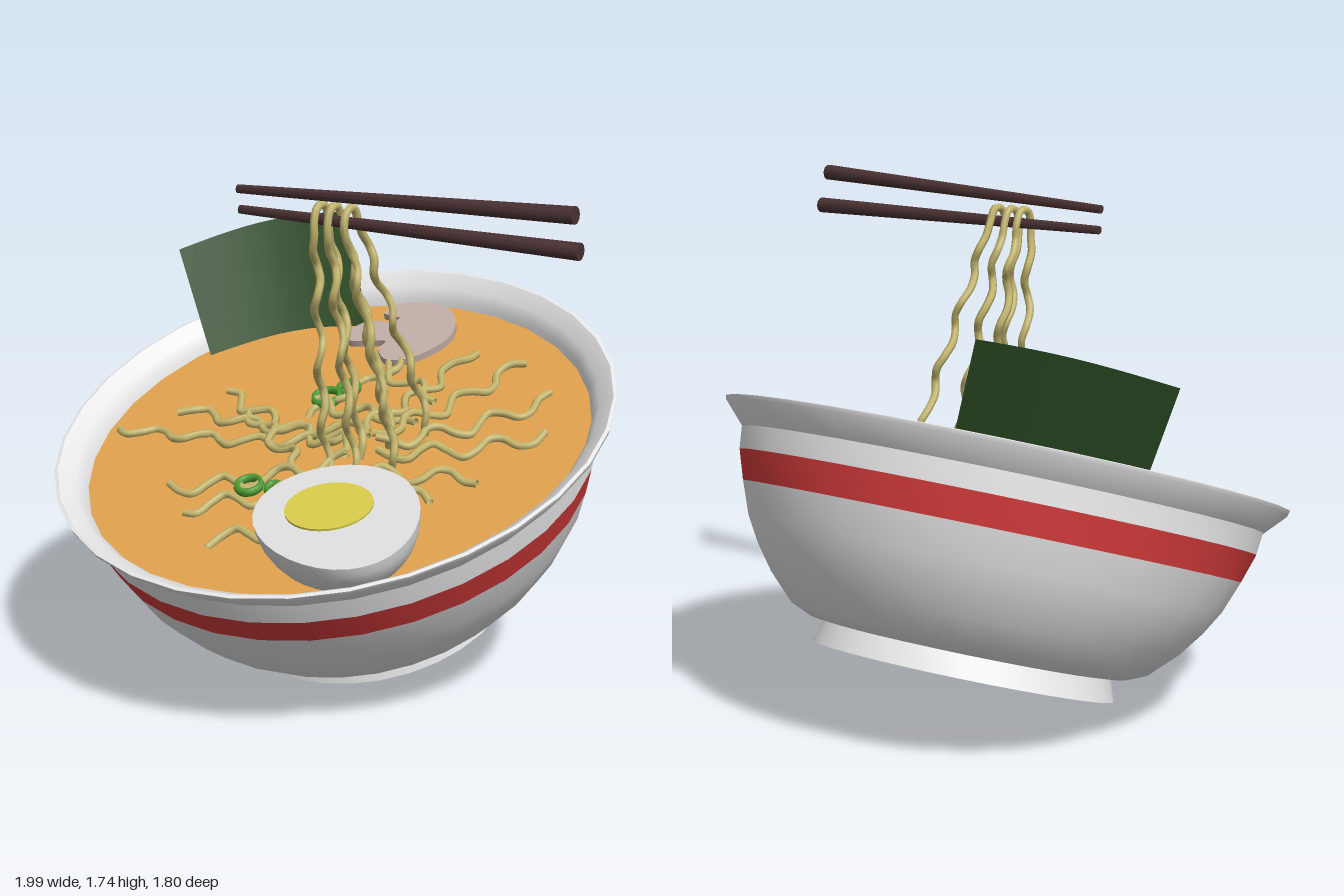
import * as THREE from 'three';
import { toCreasedNormals } from 'three/addons/utils/BufferGeometryUtils.js';

const TILT = THREE.MathUtils.degToRad(20);
const SOUP = 0.64; // soup height along the bowl axis

function mat(name, color, double) {
  const m = new THREE.MeshStandardMaterial({ color });
  m.name = name;
  if (double) m.side = THREE.DoubleSide;
  return m;
}
const M = {
  china: mat('white china', 0xeeeeee, true),
  red: mat('red glaze', 0xd83c3c),
  soup: mat('orange broth', 0xdea04c),
  noodle: mat('noodle', 0xc6b870, true),
  nori: mat('dark green seaweed', 0x2d4d25, true),
  onion: mat('spring green', 0x4fa035),
  mushroom: mat('pale mushroom', 0xc2aca6),
  egg: mat('egg white', 0xdedede),
  yolk: mat('yolk yellow', 0xd8ca4c),
  wood: mat('dark wood', 0x4a3132),
};
const V = (x, y, z) => new THREE.Vector3(x, y, z);
// world height of the tilted soup surface
const soupY = (z) => 0.787 - (z + 0.03) * Math.tan(TILT);

function add(parent, name, geometry, material) {
  const m = new THREE.Mesh(geometry, material);
  m.name = name;
  parent.add(m);
  return m;
}
function lathe(points) {
  const g = new THREE.LatheGeometry(points.map(([r, h]) => new THREE.Vector2(r, h)), 32);
  return toCreasedNormals(g, 0.5);
}

function makeBowl() {
  const bowl = new THREE.Group();
  bowl.name = 'bowl';
  bowl.position.set(-0.04, 0.185, -0.25);
  bowl.rotation.x = TILT;
  add(bowl, 'bowlFoot', lathe([[0, 0.04], [0.385, 0.04], [0.4, 0], [0.51, 0], [0.485, 0.075]]), M.china);
  add(bowl, 'bowlBody', lathe([[0.485, 0.075], [0.535, 0.08], [0.605, 0.11], [0.692, 0.196], [0.755, 0.28],
    [0.803, 0.362], [0.845, 0.472]]), M.china);
  add(bowl, 'bowlStripe', lathe([[0.845, 0.472], [0.877, 0.57]]), M.red);
  add(bowl, 'bowlRim', lathe([[0.877, 0.57], [0.885, 0.645], [0.953, 0.718], [0.957, 0.732], [0.945, 0.735],
    [0.895, 0.7], [0.868, 0.665], [0.855, 0.6]]), M.china);
  const soup = add(bowl, 'soup', new THREE.CircleGeometry(0.862, 32), M.soup);
  soup.rotation.x = -Math.PI / 2;
  soup.position.y = SOUP;

  // mushroom slice: cap to the right, stalk to the left
  const s = new THREE.Shape();
  const p = (x, z) => new THREE.Vector2(x + 0.04, -(z + 0.03) / Math.cos(TILT));
  s.moveTo(...p(-0.26, -0.71).toArray());
  s.splineThru([[-0.25, -0.765], [-0.16, -0.81], [-0.05, -0.8], [0.035, -0.72], [0.055, -0.61], [-0.01, -0.49],
    [-0.1, -0.455], [-0.165, -0.51]].map((a) => p(...a)));
  s.splineThru([[-0.16, -0.555], [-0.22, -0.545], [-0.3, -0.53], [-0.325, -0.6], [-0.28, -0.66], [-0.2, -0.665],
    [-0.185, -0.7]].map((a) => p(...a)));
  s.lineTo(...p(-0.26, -0.71).toArray());
  const slice = add(bowl, 'mushroomSlice', new THREE.ExtrudeGeometry(s, { depth: 0.025, bevelEnabled: false, curveSegments: 4 }), M.mushroom);
  slice.rotation.x = -Math.PI / 2;
  slice.position.y = SOUP + 0.005;

  // spring onion rings: x, z, radius
  for (const [x, z, r] of [[-0.147, -0.283, 0.036], [-0.195, -0.215, 0.046], [-0.185, 0.283, 0.042], [-0.09, 0.275, 0.026]]) {
    const ring = add(bowl, 'springOnionRing', new THREE.TorusGeometry(r, 0.01, 6, 20), M.onion);
    ring.rotation.x = -Math.PI / 2;
    ring.scale.z = 1.6;
    ring.position.set(x + 0.04, SOUP + 0.02, (z + 0.03) / Math.cos(TILT));
  }
  return bowl;
}

function makeEgg() {
  const egg = new THREE.Group();
  egg.name = 'halfEgg';
  egg.position.set(0.275, 0.718, 0.465);
  egg.rotation.set(0.245, -Math.PI / 4, 0);
  const taper = (g) => {
    const a = g.attributes.position;
    for (let i = 0; i < a.count; i++) {
      const k = 1 - 0.12 * a.getX(i);
      a.setXYZ(i, a.getX(i) * 0.325, a.getY(i) * 0.22 * k, a.getZ(i) * 0.262 * k);
    }
    g.computeVertexNormals();
    return g;
  };
  add(egg, 'eggBody', taper(new THREE.SphereGeometry(1, 32, 10, 0, Math.PI * 2, Math.PI / 2, Math.PI / 2)), M.egg);
  add(egg, 'eggFace', taper(new THREE.CircleGeometry(1, 32).rotateX(-Math.PI / 2)), M.egg);
  const yolk = add(egg, 'yolk', new THREE.CylinderGeometry(0.143, 0.143, 0.008, 28), M.yolk);
  yolk.position.set(-0.065, 0.003, 0.015);
  return egg;
}

// curved seaweed sheet: bilinear between four corners plus a bulge
function makeSeaweed() {
  const g = new THREE.PlaneGeometry(1, 1, 10, 4);
  const a = g.attributes.position;
  const TL = V(-0.944, 1.28, -0.385), TR = V(-0.44, 1.42, -0.711);
  const BL = V(-0.785, 0.91, -0.35), BR = V(-0.295, 1.02, -0.658);
  for (let i = 0; i < a.count; i++) {
    const u = a.getX(i) + 0.5, v = a.getY(i) + 0.5;
    const q = BL.clone().lerp(BR, u).lerp(TL.clone().lerp(TR, u), v);
    q.addScaledVector(V(-0.015, 0.025, -0.045), Math.sin(Math.PI * u));
    a.setXYZ(i, q.x, q.y, q.z);
  }
  g.computeVertexNormals();
  return g;
}

function noodle(points) {
  const curve = new THREE.CatmullRomCurve3(points);
  return new THREE.TubeGeometry(curve, points.length * 4, 0.0135, 6);
}

// noodles lying in the soup: outer end x, z to inner end x, z
const FLOATING = [
  [-0.84, 0.13, 0.05, 0.03], [-0.68, -0.03, 0.12, 0.0], [-0.58, -0.15, 0.1, 0.1], [-0.46, 0.37, 0.1, 0.14],
  [-0.34, 0.44, 0.1, 0.22], [-0.16, 0.56, 0.04, 0.46], [0.17, -0.59, 0.08, 0.0], [0.38, -0.57, 0.14, 0.02],
  [0.58, -0.41, 0.18, 0.06], [0.65, -0.22, 0.2, 0.1], [0.54, 0.04, 0.16, 0.2], [0.45, 0.19, 0.15, 0.24],
  [-0.03, -0.52, -0.2, -0.1], [-0.24, -0.18, 0.22, -0.08], [-0.1, -0.42, 0.2, -0.3], [-0.42, -0.08, -0.05, 0.18],
];
function floatingNoodle([x0, z0, x1, z1], k) {
  const dx = x1 - x0, dz = z1 - z0, len = Math.hypot(dx, dz), n = Math.max(4, Math.round(len / 0.045));
  const pts = [];
  for (let i = 0; i <= n; i++) {
    const t = i / n;
    const w = 0.032 * Math.sin((t * len / 0.2) * Math.PI * 2 + k * 1.7);
    const x = x0 + dx * t - (dz / len) * w, z = z0 + dz * t + (dx / len) * w;
    const hump = 0.07 * Math.exp(-((x - 0.12) ** 2 + (z - 0.03) ** 2) / 0.06);
    pts.push(V(x, soupY(z) + 0.012 + hump + 0.008 * Math.sin(i * 1.3 + k), z));
  }
  return noodle(pts);
}

// lifted noodles: loop over the lower chopstick with a front and a back strand
const LIFTED = [
  { x: 0.09, xf: 0.04, xb: 0.1, zf: 0.15, zb: 0.04 },
  { x: 0.14, xf: 0.13, xb: 0.17, zf: 0.13, zb: -0.04 },
  { x: 0.2, xf: 0.24, xb: 0.26, zf: 0.06, zb: -0.13 },
];
function liftedNoodle({ x, xf, xb, zf, zb }, k) {
  const strand = (xe, ze, ztop, phase) => {
    const pts = [], n = 18, yEnd = soupY(ze) + 0.01;
    for (let i = 0; i <= n; i++) {
      const t = i / n, a = Math.min(1, t * 6) * 0.024;
      const wave = t * 26 + phase;
      pts.push(V(x + (xe - x) * Math.min(1, t * 1.3) + a * 0.6 * Math.sin(wave + 1),
        1.61 + (yEnd - 1.61) * t, ztop + (ze - ztop) * t + a * Math.sin(wave)));
    }
    return pts;
  };
  const front = strand(xf, zf, 0.312, k * 0.7), back = strand(xb, zb, 0.228, k * 0.7 + 0.8);
  return noodle([...front.reverse(), V(x, 1.65, 0.295), V(x, 1.655, 0.255), ...back]);
}

function chopstick(tip, end) {
  const d = end.clone().sub(tip);
  const m = new THREE.Mesh(toCreasedNormals(new THREE.CylinderGeometry(0.027, 0.014, d.length(), 10), 0.8), M.wood);
  m.name = 'chopstick';
  m.position.copy(tip).addScaledVector(d, 0.5);
  m.quaternion.setFromUnitVectors(V(0, 1, 0), d.normalize());
  return m;
}

export function createModel() {
  const model = new THREE.Group();
  model.name = 'noodleSoup';
  model.add(makeBowl(), makeEgg());
  add(model, 'seaweedSheet', makeSeaweed(), M.nori);
  FLOATING.forEach((f, i) => add(model, 'floatingNoodle', floatingNoodle(f, i), M.noodle));
  LIFTED.forEach((f, i) => add(model, 'liftedNoodle', liftedNoodle(f, i), M.noodle));
  model.add(
    chopstick(V(-0.215, 1.68, 0.285), V(0.99, 1.722, 0.31)),
    chopstick(V(-0.215, 1.612, 0.275), V(0.99, 1.607, 0.27)),
  );
  return model;
}
